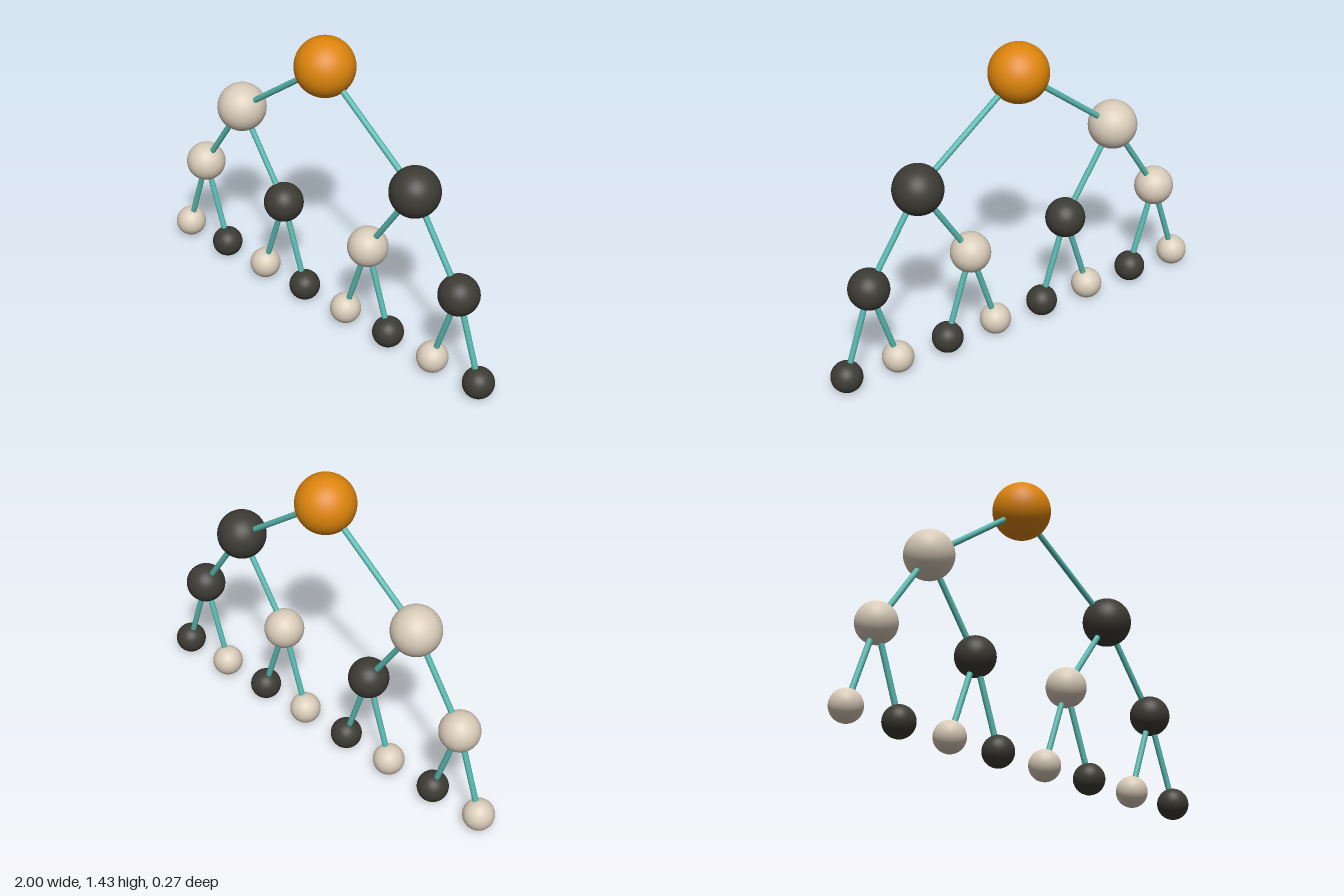
import * as THREE from 'three';

const mat = (name, color) => {
  const m = new THREE.MeshStandardMaterial({ color });
  m.name = name;
  return m;
};

export function createModel() {
  const orange = mat('orange', 0xdd850c);
  const cream = mat('cream', 0xd9ccb9);
  const charcoal = mat('charcoal', 0x3c3b34);
  const teal = mat('teal', 0x58b9b0);

  const levelNames = ['root', 'branch', 'twig', 'leaf'];
  const radii = [0.136, 0.114, 0.093, 0.0725];
  const balls = radii.map((r) => new THREE.SphereGeometry(r, 48, 32));
  const step = 0.406; // height between levels
  const spread = 0.53; // sideways offset of the first split, halved each level

  const group = new THREE.Group();
  group.name = 'binaryTree';

  // Rod joining the centres of two balls
  function addRod(from, to) {
    const dir = to.clone().sub(from);
    const rod = new THREE.Mesh(new THREE.CylinderGeometry(0.0135, 0.0135, dir.length(), 16), teal);
    rod.name = 'rod';
    rod.position.copy(from).add(to).multiplyScalar(0.5);
    rod.quaternion.setFromUnitVectors(new THREE.Vector3(0, 1, 0), dir.normalize());
    group.add(rod);
  }

  // Ball with its two children: cream on the right, charcoal on the left
  function addNode(level, pos, material) {
    const ball = new THREE.Mesh(balls[level], material);
    ball.name = levelNames[level] + 'Ball';
    ball.position.copy(pos);
    group.add(ball);
    if (level === radii.length - 1) return;
    for (const side of [-1, 1]) {
      const child = new THREE.Vector3(pos.x + (side * spread) / 2 ** level, pos.y - step, 0);
      addRod(pos, child);
      addNode(level + 1, child, side < 0 ? cream : charcoal);
    }
  }

  addNode(0, new THREE.Vector3(0, radii[3] + 3 * step, 0), orange);
  return group;
}
